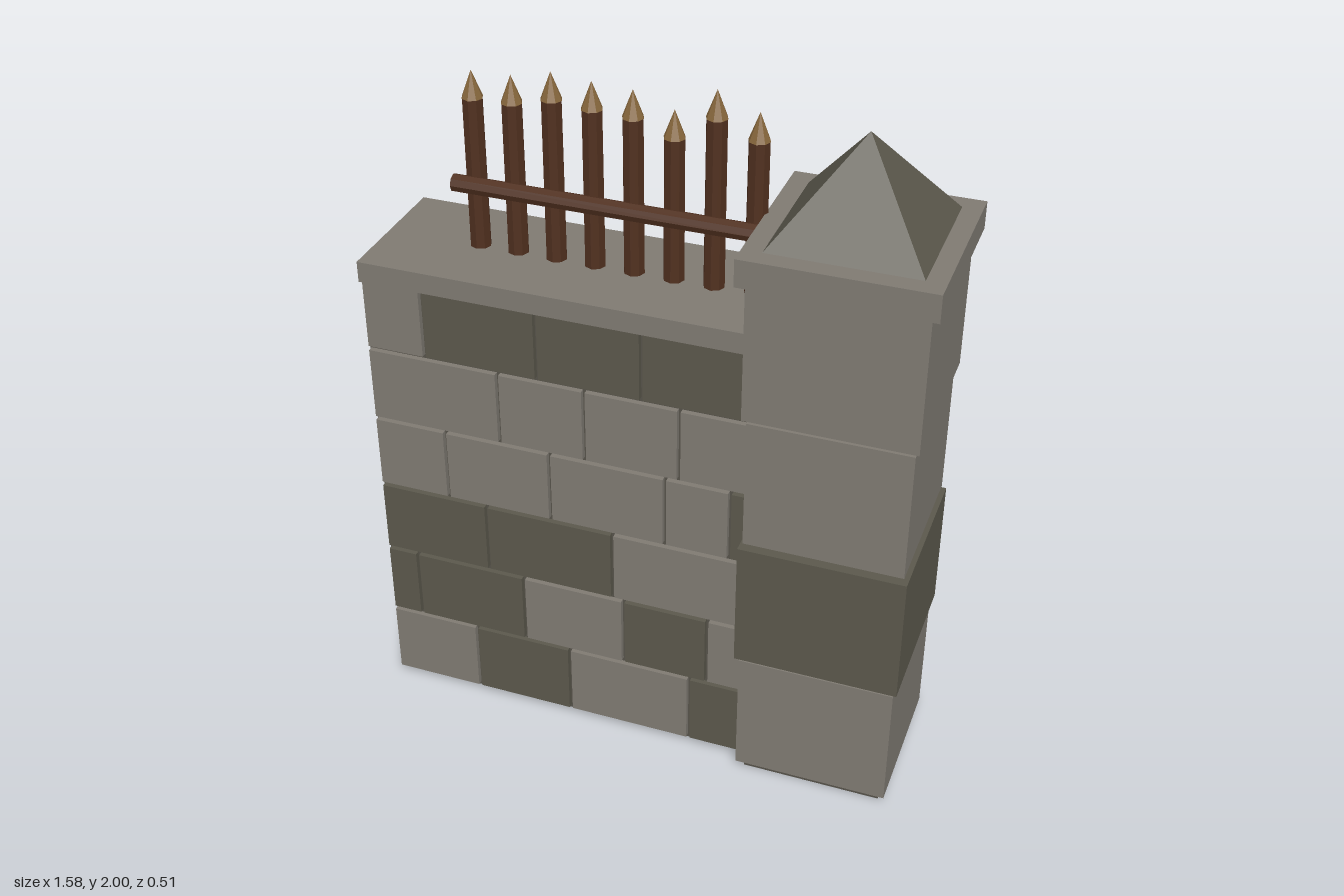
import * as THREE from 'three';

const mat = (name, color) => {
  const m = new THREE.MeshStandardMaterial({ color });
  m.name = name;
  return m;
};

export function createModel() {
  const light = mat('light stone', 0x7f7a72);
  const dark = mat('dark stone', 0x5b584c);
  const mortar = mat('mortar', 0x56534a);
  const wood = mat('dark wood', 0x50301f);
  const tipWood = mat('cut wood', 0x86663c);

  const root = new THREE.Group();
  root.name = 'wallWithGatePillar';
  const group = (name) => {
    const g = new THREE.Group();
    g.name = name;
    root.add(g);
    return g;
  };
  const add = (parent, name, geo, material, x = 0, y = 0, z = 0) => {
    const m = new THREE.Mesh(geo, material);
    m.name = name;
    m.position.set(x, y, z);
    parent.add(m);
    return m;
  };
  // Box given by its extents
  const box = (parent, name, material, x0, x1, y0, y1, z0, z1) =>
    add(parent, name, new THREE.BoxGeometry(x1 - x0, y1 - y0, z1 - z0), material,
      (x0 + x1) / 2, (y0 + y1) / 2, (z0 + z1) / 2);
  // Low-poly geometry with hard facets
  const facet = (geo) => {
    const g = geo.toNonIndexed();
    g.computeVertexNormals();
    return g;
  };

  // Wall core and coping
  const wall = group('wall');
  box(wall, 'wallCore', mortar, -0.79, 0.4, 0.015, 1.4, -0.16, 0.16);
  box(wall, 'wallCoping', light, -0.782, 0.34, 1.395, 1.455, -0.2, 0.2);

  // Brick courses: joints along x, and one colour letter per brick
  const rowY = [[0.027, 0.25], [0.262, 0.48], [0.493, 0.71], [0.723, 0.938], [0.95, 1.167], [1.18, 1.398]];
  const front = [
    [[-0.518, -0.22, 0.15], 'LDLD'],
    [[-0.695, -0.357, -0.05, 0.202], 'DDLDL'],
    [[-0.462, -0.08], 'DDL'],
    [[-0.575, -0.262, 0.075, 0.26], 'LLLLD'],
    [[-0.405, -0.155, 0.115], 'LLLL'],
    [[-0.617, -0.287, 0.01, 0.29], 'LDDDL'],
  ];
  const back = [
    [[-0.55, -0.12, 0.15], 'DLDL'],
    [[-0.44, -0.12, 0.15], 'DLDL'],
    [[-0.67, -0.335, 0.03, 0.25], 'LLDLD'],
    [[-0.55, -0.205, 0.03, 0.225], 'LLLLD'],
    [[-0.42, -0.045, 0.21], 'LLLL'],
    [[-0.65, -0.27, 0.02, 0.28], 'LDLDL'],
  ];
  const courses = (name, rows, side) => {
    const g = group(name);
    rows.forEach(([joints, colours], r) => {
      const xs = [-0.791, ...joints, 0.35];
      for (let i = 0; i < xs.length - 1; i++) {
        const z = [side * 0.15, side * 0.176].sort((a, b) => a - b);
        box(g, 'brick', colours[i] === 'D' ? dark : light,
          xs[i] + 0.005, xs[i + 1] - 0.005, ...rowY[r], ...z);
      }
    });
  };
  courses('frontBricks', front, 1);
  courses('backBricks', back, -1);

  // Pillar: core, four stacked blocks, slab and pyramid roof
  const pillar = group('pillar');
  pillar.position.x = 0.532;
  const square = (name, material, h, y0, y1) => box(pillar, name, material, -h, h, y0, y1, -h, h);
  square('pillarCore', mortar, 0.2, 0, 1.62);
  for (let i = 0; i < 4; i++) {
    const y = 0.027 + i * 0.397;
    square('pillarBlock', i === 1 ? dark : light, i % 2 ? 0.231 : 0.22, y, y + 0.383);
  }
  square('pillarSlab', light, 0.253, 1.613, 1.69);
  const roof = new THREE.ConeGeometry(0.2 * Math.SQRT2, 0.262, 4);
  roof.rotateY(Math.PI / 4);
  add(pillar, 'pillarRoof', facet(roof), dark, 0, 1.821, 0);

  // Pointed stakes tied to one rail
  const fence = group('fence');
  [1.955, 1.957, 1.982, 1.973, 1.967, 1.93, 2, 1.957].forEach((top, i) => {
    const x = -0.514 + i * 0.11;
    const neck = top - 0.075;
    add(fence, 'stake', facet(new THREE.CylinderGeometry(0.028, 0.029, neck - 1.44, 8)),
      wood, x, (neck + 1.44) / 2, -0.004);
    add(fence, 'stakeTip', facet(new THREE.ConeGeometry(0.029, 0.075, 8)),
      tipWood, x, top - 0.0375, -0.004);
  });
  const rail = facet(new THREE.CylinderGeometry(0.024, 0.024, 0.9, 8));
  rail.rotateZ(Math.PI / 2);
  add(fence, 'fenceRail', rail, wood, -0.105, 1.658, 0.052);

  return root;
}
